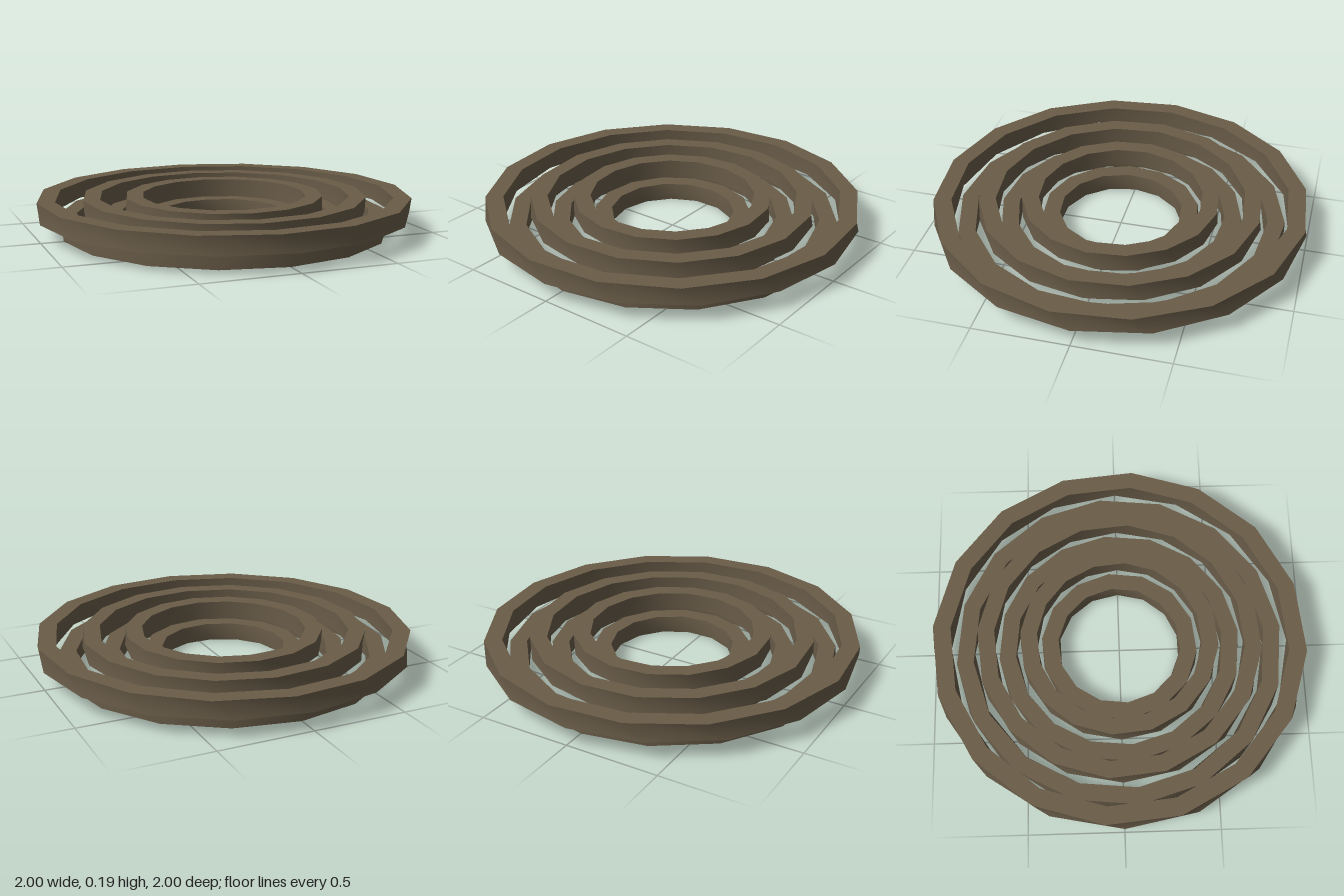
import * as THREE from 'three';
import { toCreasedNormals } from 'three/addons/utils/BufferGeometryUtils.js';

// Faceted square-section ring; the top edge is turned slightly against the bottom edge
function ringGeometry(outer, inner, y0, y1, sides, phase, twist) {
  const step = (Math.PI * 2) / sides;
  const section = [[outer, y0, 0], [outer, y1, twist], [inner, y1, twist], [inner, y0, 0]];
  const positions = [];
  const index = [];
  for (let i = 0; i < sides; i++) {
    section.forEach(([r, y, turn], k) => {
      const a = (i + phase + turn) * step;
      positions.push(r * Math.cos(a), y, r * Math.sin(a));
      const next = ((i + 1) % sides) * 4;
      const k1 = (k + 1) % 4;
      const [p, q, s, t] = [i * 4 + k, i * 4 + k1, next + k1, next + k];
      index.push(p, q, s, p, s, t);
    });
  }
  const geometry = new THREE.BufferGeometry();
  geometry.setAttribute('position', new THREE.Float32BufferAttribute(positions, 3));
  geometry.setIndex(index);
  return toCreasedNormals(geometry, 0.7);
}

export function createModel() {
  const group = new THREE.Group();
  group.name = 'concentricRings';
  const bronze = new THREE.MeshStandardMaterial({ name: 'dark bronze', color: 0x6a5d49 });

  // Outer radius, inner radius and sides; rings alternate between upper and lower tier
  const rings = [
    [1.0, 0.905, 16],
    [0.88, 0.79, 16],
    [0.76, 0.67, 16],
    [0.65, 0.56, 16],
    [0.53, 0.44, 16],
    [0.42, 0.33, 14],
  ];
  rings.forEach(([outer, inner, sides], i) => {
    const upper = i % 2 === 0;
    const [y0, y1] = upper ? [0.105, 0.2] : [0.01, 0.105];
    const geometry = ringGeometry(outer, inner, y0, y1, sides, 0, upper ? 0.25 : -0.25);
    const ring = new THREE.Mesh(geometry, bronze);
    ring.name = `${upper ? 'upper' : 'lower'}Ring${Math.floor(i / 2) + 1}`;
    group.add(ring);
  });
  return group;
}
